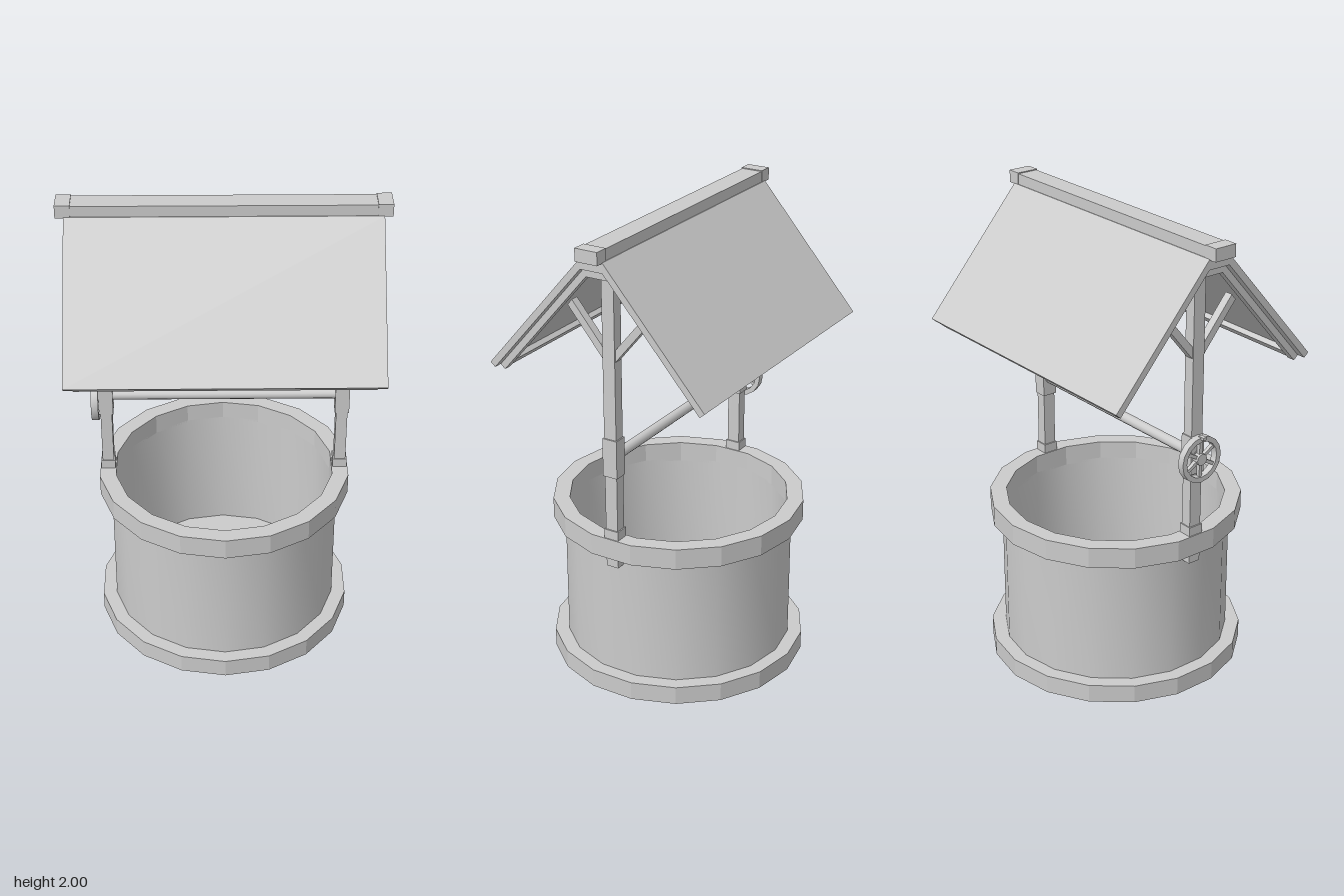
import * as THREE from 'three';
import { toCreasedNormals } from 'three/addons/utils/BufferGeometryUtils.js';

const smooth = new THREE.MeshStandardMaterial({ color: 0xcccccc, side: THREE.DoubleSide });
const flat = new THREE.MeshStandardMaterial({ color: 0xcccccc, flatShading: true });

export function createModel() {
  const well = new THREE.Group();
  well.name = 'well';

  function add(name, geometry, material = flat, parent = well) {
    const mesh = new THREE.Mesh(geometry, material);
    mesh.name = name;
    parent.add(mesh);
    return mesh;
  }

  // Box given by its lower and upper limits on each axis
  function box(name, x0, x1, y0, y1, z0, z1) {
    const mesh = add(name, new THREE.BoxGeometry(x1 - x0, y1 - y0, z1 - z0));
    mesh.position.set((x0 + x1) / 2, (y0 + y1) / 2, (z0 + z1) / 2);
    return mesh;
  }

  // Ring with a rectangular section, turned about y
  function ring(inner, outer, y0, y1, sides) {
    const p = [[inner, y0], [outer, y0], [outer, y1], [inner, y1], [inner, y0]];
    return new THREE.LatheGeometry(p.map(([x, y]) => new THREE.Vector2(x, y)), sides);
  }

  // Outline of [z, y] points drawn out along x between two limits
  function prism(points, x0, x1) {
    const shape = new THREE.Shape(points.map(([z, y]) => new THREE.Vector2(-z, y)));
    const g = new THREE.ExtrudeGeometry(shape, { depth: x1 - x0, bevelEnabled: false });
    return g.rotateY(Math.PI / 2).translate(x0, 0, 0);
  }

  // Stone shaft
  const SIDES = 18;
  const base = add('base', new THREE.CylinderGeometry(0.55, 0.55, 0.08, SIDES));
  base.position.y = 0.04;
  add('shaftWall', toCreasedNormals(ring(0.47, 0.49, 0.08, 0.65, SIDES), 0.6), smooth);
  add('topRim', ring(0.47, 0.54, 0.64, 0.73, SIDES));

  // Posts with sleeves and braces at both ends
  for (const s of [-1, 1]) {
    const x = s * 0.4975;
    box('post', x - 0.024, x + 0.024, 0.6, 1.92, -0.028, 0.028);
    box('postFoot', x - 0.03, x + 0.03, 0.7, 0.77, -0.033, 0.033);
    box('axleSleeve', x - 0.03, x + 0.03, 1.01, 1.175, -0.033, 0.033);
    for (const m of [-1, 1]) {
      const outline = [[0, 1.475], [0.19, 1.705], [0.17, 1.73], [0, 1.525]];
      add('brace', prism(outline.map(([z, y]) => [m * z, y]), x - 0.018, x + 0.018));
    }
  }

  // Axle running out to the wheel
  const axle = add('axle', new THREE.CylinderGeometry(0.022, 0.022, 1.0, 12), smooth);
  axle.rotation.z = Math.PI / 2;
  axle.position.set(-0.03, 1.09, 0);

  // Hand wheel on the right end
  const wheel = new THREE.Group();
  wheel.name = 'handWheel';
  wheel.position.set(-0.54, 1.08, 0);
  wheel.rotation.z = Math.PI / 2;
  well.add(wheel);
  add('wheelRim', toCreasedNormals(ring(0.078, 0.1, -0.015, 0.015, 16), 0.6), smooth, wheel);
  add('wheelHub', new THREE.CylinderGeometry(0.025, 0.025, 0.034, 12), smooth, wheel);
  for (let i = 0; i < 6; i++) {
    const a = (i * Math.PI) / 3;
    const spoke = add('spoke', new THREE.BoxGeometry(0.07, 0.016, 0.014), flat, wheel);
    spoke.position.set(Math.cos(a) * 0.05, 0, Math.sin(a) * 0.05);
    spoke.rotation.y = -a;
  }
  box('wheelPeg', -0.57, -0.54, 1.17, 1.182, -0.008, 0.008);

  // Points on one roof slope: d is the depth below the surface, t runs from shoulder to eave
  function slope(d, t) {
    const shoulder = [0.05, 1.95 - 1.52 * d];
    const eave = [0.493 - 0.753 * d, 1.44 - 0.658 * d];
    return shoulder.map((v, i) => v + (eave[i] - v) * t);
  }
  const flip = ([z, y]) => [-z, y];
  function chevron(d0, d1) {
    const half = [slope(d0, 0), slope(d0, 1), slope(d1, 1), slope(d1, 0)];
    return [half[0], half[1], half[2], half[3],
      flip(half[3]), flip(half[2]), flip(half[1]), flip(half[0])];
  }

  // Roof sheet, the rafters under its ends and the battens along its eaves
  add('roofSheet', prism(chevron(0, 0.028), -0.627, 0.627));
  for (const s of [-1, 1]) {
    add('rafter', prism(chevron(0.028, 0.055), s * 0.5725 - 0.0175, s * 0.5725 + 0.0175));
    const strip = [slope(0.028, 0.94), slope(0.028, 1), slope(0.05, 1), slope(0.05, 0.94)];
    add('eaveBatten', prism(s > 0 ? strip : strip.map(flip), -0.555, 0.555));
  }

  // Ridge beam with end caps
  box('ridgeBeam', -0.61, 0.61, 1.94, 1.996, -0.047, 0.047);
  for (const s of [-1, 1]) {
    box('ridgeCap', s * 0.63 - 0.03, s * 0.63 + 0.03, 1.947, 2, -0.05, 0.05);
  }

  return well;
}
